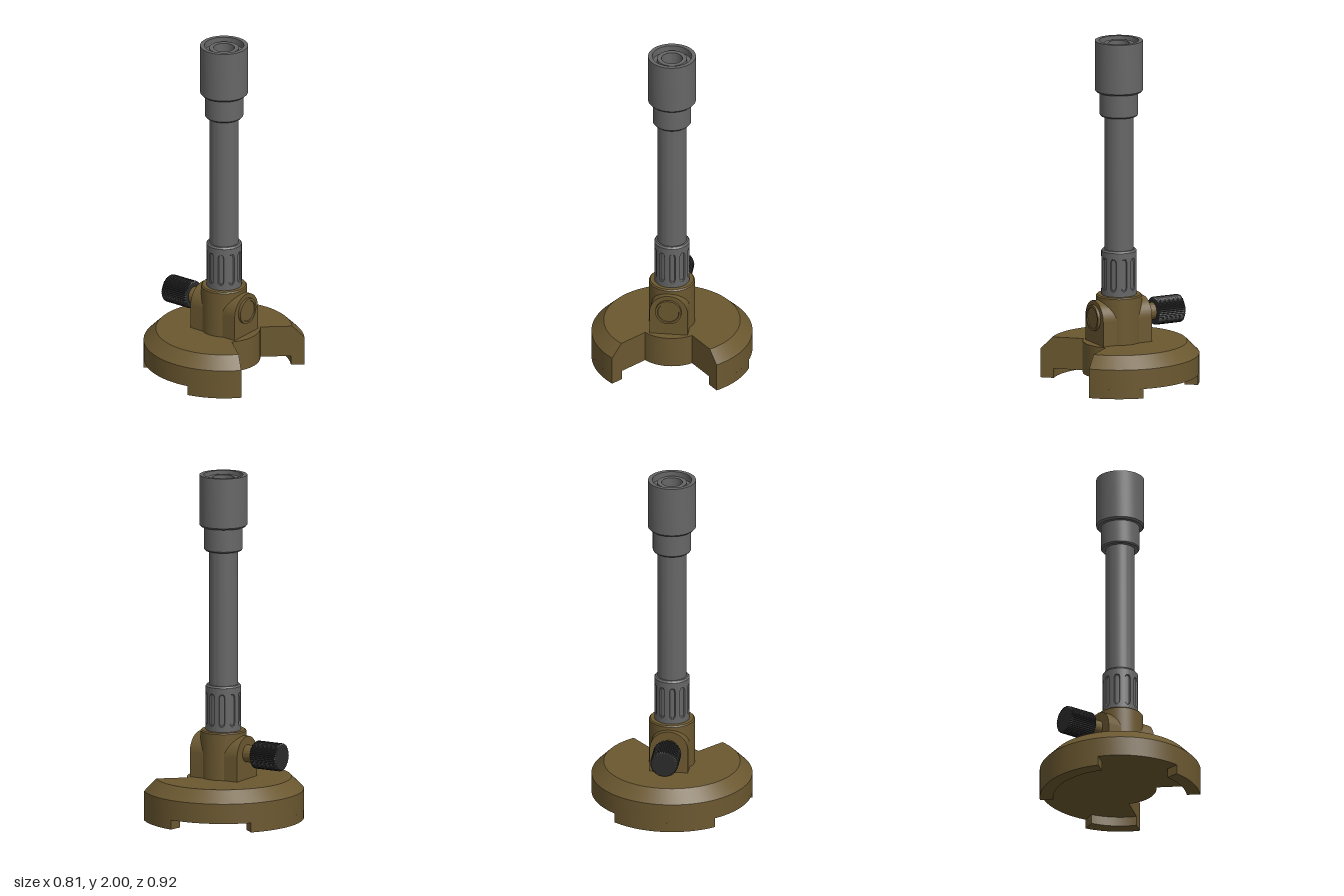
import * as THREE from 'three';
import { mergeGeometries, toCreasedNormals } from 'three/addons/utils/BufferGeometryUtils.js';

const rad = THREE.MathUtils.degToRad;
const vec = (pts) => pts.map(([x, y]) => new THREE.Vector2(x, y));
const brass = new THREE.MeshStandardMaterial({ color: 0x6b5830, side: THREE.DoubleSide });
const steel = new THREE.MeshStandardMaterial({ color: 0x666666, side: THREE.DoubleSide });
const black = new THREE.MeshStandardMaterial({ color: 0x2b2b2b });

function add(parent, name, geometry, material) {
  const mesh = new THREE.Mesh(geometry, material);
  mesh.name = name;
  parent.add(mesh);
  return mesh;
}

// Full turned part with sharp profile corners
const turned = (pts, segments = 64) => toCreasedNormals(new THREE.LatheGeometry(vec(pts), segments), 0.5);

// Closed profile swept between two angles (degrees from +x), with end caps
function sector(pts, from, to) {
  const start = rad(90 - to), length = rad(to - from);
  const sweep = new THREE.LatheGeometry(vec([...pts, pts[0]]), Math.ceil((to - from) / 3), start, length);
  const caps = [start, start + length].map((phi) =>
    new THREE.ShapeGeometry(new THREE.Shape(vec(pts))).toNonIndexed().rotateY(phi - Math.PI / 2));
  return mergeGeometries([toCreasedNormals(sweep, 0.5), ...caps]);
}

// Collar wall with rounded grip slots pressed in
function slottedCollar() {
  const r = 0.101, h = 0.255, slots = 10, pitch = (Math.PI * 2) / slots;
  const geo = new THREE.CylinderGeometry(r, r, h, 200, 50, true);
  const p = geo.attributes.position;
  for (let i = 0; i < p.count; i++) {
    const a = Math.atan2(p.getX(i), p.getZ(i)) + rad(10);
    const s = (a - Math.round(a / pitch) * pitch) * r;
    const dy = Math.max(0, Math.abs(p.getY(i) + 0.002) - 0.077);
    const k = Math.hypot(s, dy) < 0.0145 ? 0.93 : 1;
    p.setX(i, p.getX(i) * k);
    p.setZ(i, p.getZ(i) * k);
  }
  return toCreasedNormals(geo, 0.5).translate(0, 0.515 + h / 2, 0);
}

export function createModel() {
  const model = new THREE.Group();
  model.name = 'gasBurner';
  const body = new THREE.Group();
  body.name = 'burner';
  body.position.x = 0.056;
  model.add(body);

  // Chamfered base disc with a wedge cut out, round hub and three feet
  add(body, 'base', sector([[0.19, 0.055], [0.46, 0.055], [0.46, 0.17], [0.39, 0.24], [0.19, 0.24]], 40.8, 319.2), brass);
  add(body, 'baseHub', turned([[0, 0.055], [0.207, 0.055], [0.207, 0.24], [0, 0.24]]), brass);
  for (const [from, to] of [[40.8, 80.3], [141, 219], [279.7, 319.2]]) {
    add(body, 'foot', sector([[0.383, 0], [0.46, 0], [0.46, 0.055], [0.383, 0.055]], from, to), brass);
  }

  // Arched valve block crossed by an upright barrel
  const arch = new THREE.Shape();
  arch.moveTo(-0.11, 0.235);
  arch.lineTo(0.11, 0.235);
  arch.lineTo(0.11, 0.38);
  arch.absarc(0, 0.38, 0.11, 0, Math.PI);
  arch.closePath();
  const block = new THREE.ExtrudeGeometry(arch, { depth: 0.315, bevelEnabled: false, curveSegments: 32 });
  add(body, 'valveBlock', toCreasedNormals(block.rotateY(Math.PI / 2).translate(-0.157, 0, 0), 0.5), brass);
  add(body, 'barrel', turned([[0, 0.235], [0.131, 0.235], [0.131, 0.508], [0.124, 0.515], [0, 0.515]]), brass);

  // Side plug and needle valve along x
  const plug = turned([[0, 0], [0.075, 0], [0.075, 0.017], [0.062, 0.017], [0.06, 0.013], [0, 0.013]], 48);
  add(body, 'sidePlug', plug.rotateZ(-Math.PI / 2).translate(0.157, 0.39, 0), brass);
  const stem = turned([[0, 0], [0.05, 0], [0.05, 0.08], [0, 0.08]], 48);
  add(body, 'valveStem', stem.rotateZ(Math.PI / 2).translate(-0.15, 0.39, 0), brass);

  // Knurled knob
  const teeth = 44, outline = [];
  for (let i = 0; i < teeth * 2; i++) {
    const a = (i / (teeth * 2)) * Math.PI * 2, r = i % 2 ? 0.066 : 0.07;
    outline.push(new THREE.Vector2(r * Math.cos(a), r * Math.sin(a)));
  }
  const knob = new THREE.ExtrudeGeometry(new THREE.Shape(outline),
    { depth: 0.154, bevelSize: 0.008, bevelThickness: 0.01, bevelSegments: 3 });
  add(body, 'valveKnob', knob.rotateY(Math.PI / 2).translate(-0.382, 0.39, 0), black);

  // Air collar, chimney and stepped head
  add(body, 'airCollar', slottedCollar(), steel);
  add(body, 'collarRim', turned([[0.101, 0.77], [0.093, 0.78], [0.08, 0.78]]), steel);
  add(body, 'chimney', turned([[0.083, 0.76], [0.083, 1.57]]), steel);
  add(body, 'head', turned([
    [0.08, 1.56], [0.104, 1.56], [0.11, 1.568], [0.11, 1.70], [0.128, 1.70], [0.137, 1.71],
    [0.137, 2], [0.113, 2], [0.113, 1.96], [0.085, 1.96], [0.085, 1.985],
    [0.06, 1.985], [0.06, 1.9], [0, 1.9],
  ]), steel);
  return model;
}
